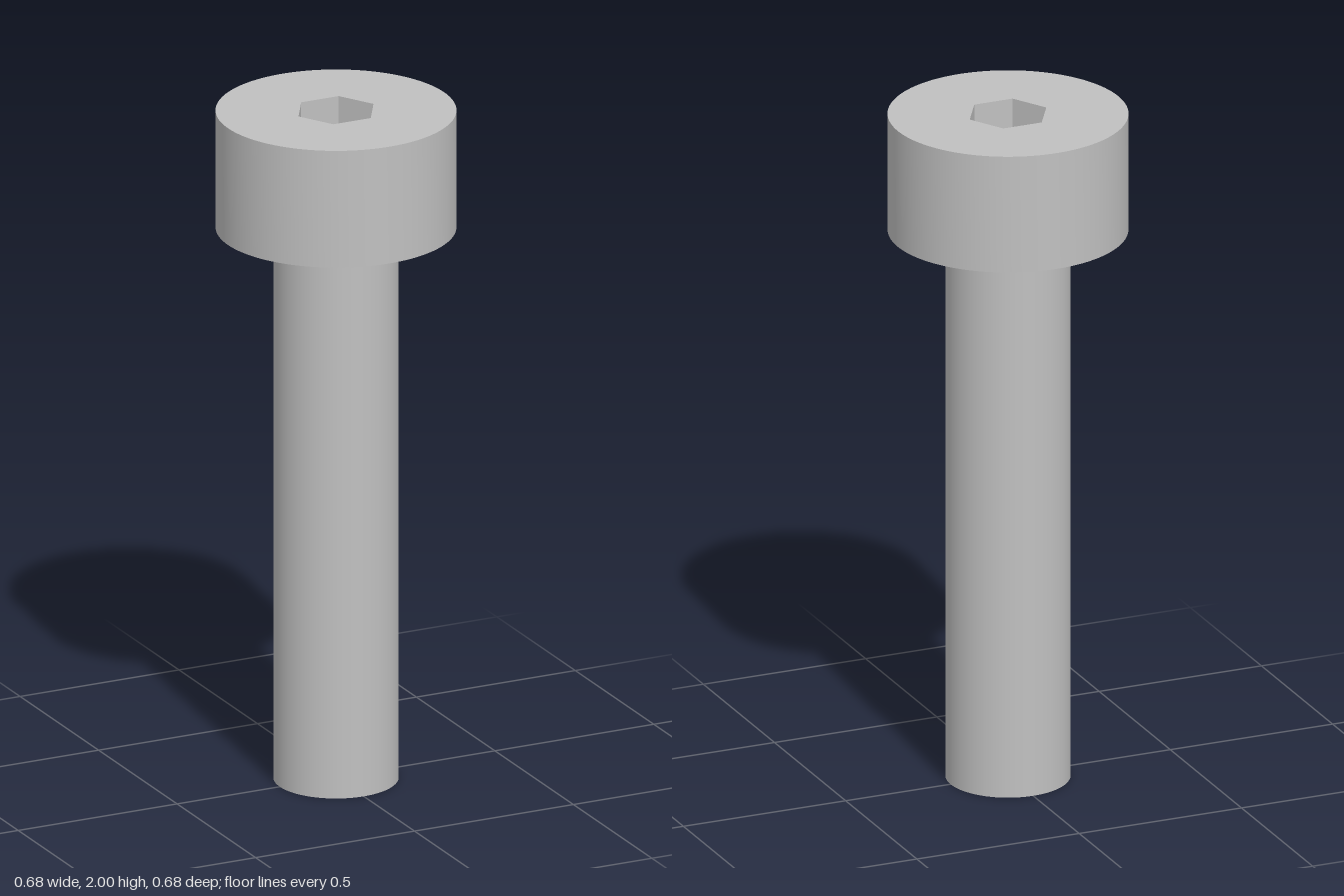
import * as THREE from 'three';
import { toCreasedNormals } from 'three/addons/utils/BufferGeometryUtils.js';

const HEAD_RADIUS = 0.34;
const HEAD_BOTTOM = 1.65;
const TOP = 2;
const SHANK_RADIUS = 0.177;
const SOCKET_RADIUS = 0.118;
const SOCKET_DEPTH = 0.177;

export function createModel() {
  const group = new THREE.Group();
  group.name = 'socketHeadBolt';
  const steel = new THREE.MeshStandardMaterial({ color: 0xc0c0c0 });
  steel.name = 'steel grey';

  // Round head with a hexagonal socket, corners pointing along x
  const outline = new THREE.Shape().absarc(0, 0, HEAD_RADIUS, 0, Math.PI * 2, false);
  const hexagon = Array.from({ length: 6 }, (_, i) => {
    const a = -i * Math.PI / 3;
    return new THREE.Vector2(Math.cos(a), Math.sin(a)).multiplyScalar(SOCKET_RADIUS);
  });
  outline.holes.push(new THREE.Path(hexagon));
  const headGeometry = new THREE.ExtrudeGeometry(outline, {
    depth: TOP - HEAD_BOTTOM, bevelEnabled: false, curveSegments: 72,
  });
  headGeometry.rotateX(-Math.PI / 2);
  const head = new THREE.Mesh(toCreasedNormals(headGeometry, Math.PI / 6), steel);
  head.name = 'head';
  head.position.y = HEAD_BOTTOM;
  group.add(head);

  // Plain shank; its upper end forms the floor of the socket
  const length = TOP - SOCKET_DEPTH;
  const shank = new THREE.Mesh(
    new THREE.CylinderGeometry(SHANK_RADIUS, SHANK_RADIUS, length, 72), steel);
  shank.name = 'shank';
  shank.position.y = length / 2;
  group.add(shank);

  return group;
}
